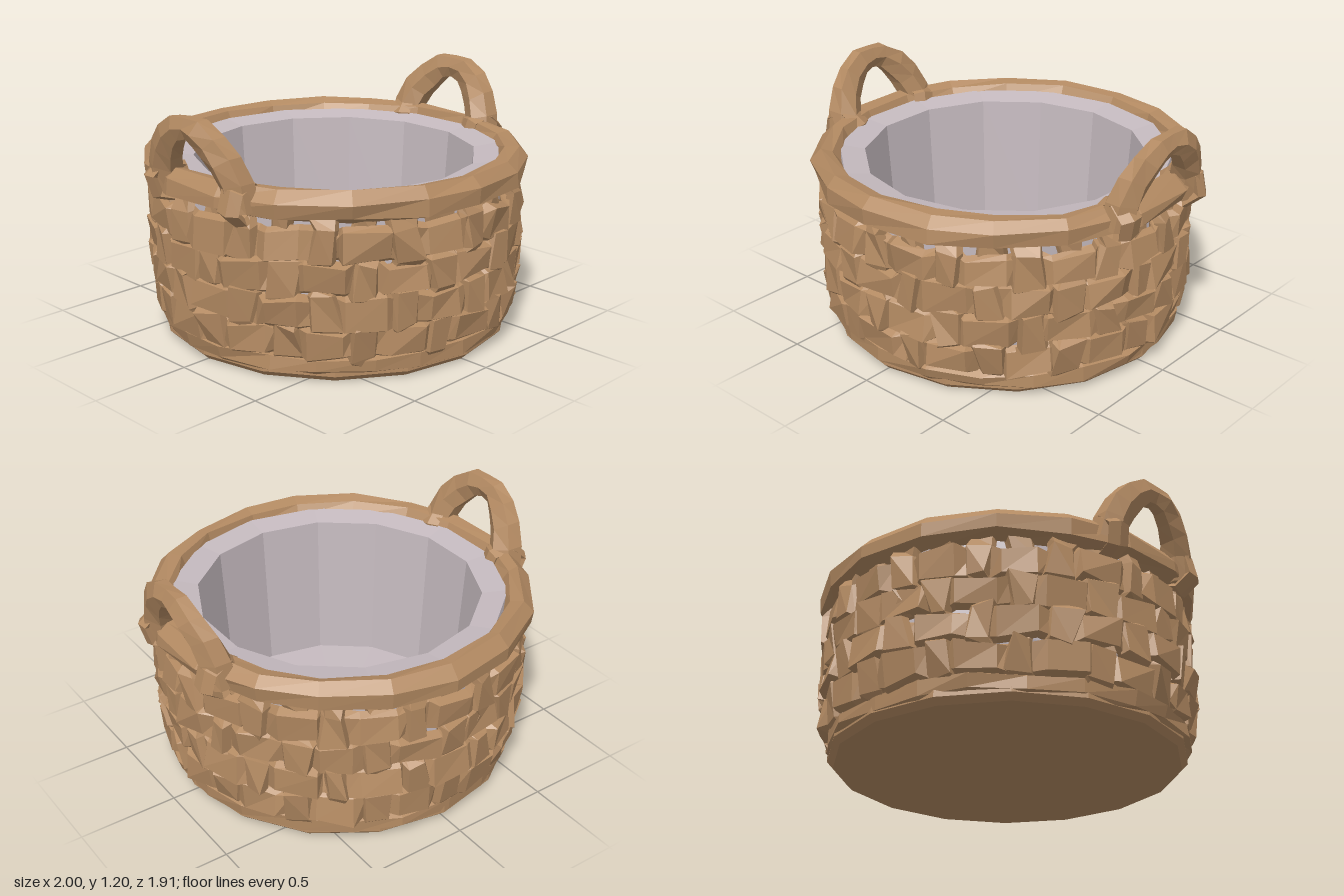
import * as THREE from 'three';

const wicker = new THREE.MeshStandardMaterial({ color: 0xb38a62, flatShading: true });
wicker.name = 'wicker brown';
const cloth = new THREE.MeshStandardMaterial({ color: 0xc5babf, flatShading: true, side: THREE.DoubleSide });
cloth.name = 'lining grey';

// Seeded jitter in the range -s..s
let seed = 7;
const jit = (s) => {
  seed = (seed * 16807) % 2147483647;
  return (seed / 2147483647 * 2 - 1) * s;
};

// Point at radius r, height y, angle a around the basket
const polar = (r, y, a) => new THREE.Vector3(r * Math.sin(a), y, r * Math.cos(a));

// Skin a row of cross-section rings
function sweep(rings, closed) {
  const m = rings[0].length, pos = [], index = [];
  rings.forEach((ring) => ring.forEach((p) => pos.push(p.x, p.y, p.z)));
  const n = closed ? rings.length : rings.length - 1;
  for (let i = 0; i < n; i++) {
    for (let j = 0; j < m; j++) {
      const k = (j + 1) % m, i2 = (i + 1) % rings.length;
      const a = i * m + j, b = i * m + k, c = i2 * m + k, d = i2 * m + j;
      index.push(a, b, d, b, c, d);
    }
  }
  const g = new THREE.BufferGeometry();
  g.setAttribute('position', new THREE.Float32BufferAttribute(pos, 3));
  g.setIndex(index);
  g.computeVertexNormals();
  return g;
}

// Uneven hoop with the given cross-section
function hoop(profile, n, rough) {
  const rings = [];
  for (let i = 0; i < n; i++) {
    const a = (i / n) * Math.PI * 2 + jit(0.04);
    rings.push(profile.map(([r, y]) => polar(r + jit(rough), y + jit(rough), a)));
  }
  return sweep(rings, true);
}

function add(parent, name, geometry, material) {
  const mesh = new THREE.Mesh(geometry, material);
  mesh.name = name;
  parent.add(mesh);
  return mesh;
}

const lathe = (pts, n) => new THREE.LatheGeometry(pts.map(([x, y]) => new THREE.Vector2(x, y)), n);

const STAKES = 30;
const PITCH = Math.PI * 2 / STAKES;
const ROWS = [0.195, 0.35, 0.505, 0.66];
const wallRadius = (y) => 0.89 - 0.8 * Math.max(0, 0.32 - y) ** 2;
const side = (i, j) => ((i + j) % 2 ? 1 : -1) * 0.02;

// Horizontal band passing over and under the stakes
function strand(j) {
  const rings = [];
  for (let i = 0; i < STAKES; i++) {
    const off = -side(i, j);
    const reach = off > 0 ? 0.1 : 0.05;
    for (const s of [-1, 1]) {
      const a = i * PITCH + s * reach + jit(0.025);
      const r = wallRadius(ROWS[j]) + off + jit(0.01);
      const top = ROWS[j] + 0.074 + jit(0.02), low = ROWS[j] - 0.074 + jit(0.02);
      const lean = jit(0.018);
      rings.push([
        polar(r - 0.022, top + 0.01, a), polar(r + 0.018 + lean, top - 0.01, a),
        polar(r + 0.018 - lean, low + 0.01, a), polar(r - 0.022, low - 0.01, a),
      ]);
    }
  }
  return sweep(rings, true);
}

// Upright stake weaving through the bands
function stake(i) {
  const rings = [];
  const ring = (y, off) => {
    const r = wallRadius(y) + off + jit(0.01);
    const a = i * PITCH + jit(0.025);
    const w = 0.058 + jit(0.022), lean = jit(0.018);
    rings.push([
      polar(r + 0.018 + lean, y + jit(0.015), a - w), polar(r + 0.018 - lean, y + jit(0.015), a + w),
      polar(r - 0.022, y, a + w + 0.02), polar(r - 0.022, y, a - w - 0.02),
    ]);
  };
  ring(0.05, -0.02);
  ROWS.forEach((y, j) => {
    const off = side(i, j);
    const reach = off > 0 ? 0.08 : 0.045;
    ring(y - reach, off);
    ring(y + reach, off);
  });
  ring(0.81, -0.02);
  return sweep(rings, false);
}

// Arched handle: thick straight legs, thinner crown, leaning outward
function arch() {
  const half = [[0.86, 0.8, 0.27], [0.885, 0.95, 0.24], [0.918, 1.05, 0.18], [0.94, 1.13, 0.09]];
  const curve = new THREE.CatmullRomCurve3([
    ...half, [0.943, 1.15, 0], ...half.slice().reverse().map(([x, y, z]) => [x, y, -z]),
  ].map((p) => new THREE.Vector3(...p)));
  const rings = [];
  for (let i = 0; i <= 10; i++) {
    const c = curve.getPoint(i / 10);
    const along = curve.getTangent(i / 10);
    const across = new THREE.Vector3(1, 0, 0);
    const out = across.clone().cross(along).normalize();
    const leg = Math.abs(i - 5) / 5;
    const ring = [];
    for (let k = 0; k < 6; k++) {
      const t = (k + 0.5) / 6 * Math.PI * 2;
      ring.push(c.clone()
        .addScaledVector(out, Math.cos(t) * (0.06 + 0.026 * Math.min(1, 2 * leg) + jit(0.008)))
        .addScaledVector(across, Math.sin(t) * (0.047 + 0.045 * leg + jit(0.006))));
    }
    rings.push(ring);
  }
  return sweep(rings, false);
}

export function createModel() {
  seed = 7;
  const model = new THREE.Group();
  model.name = 'basket';

  // Solid base wrapped by an uneven bottom band
  add(model, 'base', lathe([[0, 0], [0.85, 0], [0.88, 0.03], [0.875, 0.1], [0.84, 0.13]], 16), wicker);
  add(model, 'baseBand', hoop([[0.84, 0.135], [0.893, 0.11], [0.888, 0.05], [0.84, 0.022]], 22, 0.012), wicker);

  // Woven wall
  const wall = new THREE.Group();
  wall.name = 'wovenWall';
  model.add(wall);
  ROWS.forEach((y, j) => add(wall, 'horizontalBand', strand(j), wicker));
  for (let i = 0; i < STAKES; i++) add(wall, 'uprightStake', stake(i), wicker);

  // Chunky rim
  add(model, 'rim', hoop([
    [0.815, 0.84], [0.845, 0.91], [0.905, 0.92], [0.957, 0.87], [0.95, 0.8], [0.87, 0.77],
  ], 18, 0.01), wicker);

  // Padded cloth lining: outer skin, broad lip, steep inside and floor
  add(model, 'lining', lathe([
    [0.8, 0.12], [0.84, 0.3], [0.845, 0.8], [0.83, 0.88], [0.705, 0.86], [0.655, 0.1], [0, 0.08],
  ], 14), cloth);

  // Handles, each set a little off centre, with a broad binding where each leg meets the rim
  for (const turn of [0, Math.PI]) {
    const handle = new THREE.Group();
    handle.name = turn ? 'rightHandle' : 'leftHandle';
    handle.rotation.y = turn;
    handle.position.z = turn ? 0.02 : -0.03;
    model.add(handle);
    add(handle, 'handleArch', arch(), wicker);
    for (const s of [-1, 1]) {
      const loop = add(handle, 'handleBinding', new THREE.TorusGeometry(0.095, 0.03, 5, 6), wicker);
      loop.scale.set(1, 0.92, 2);
      loop.position.set(0.865, 0.845, s * 0.255);
      loop.rotation.set(s * 0.1, -s * 0.26, 0.3 * s);
    }
  }
  return model;
}
